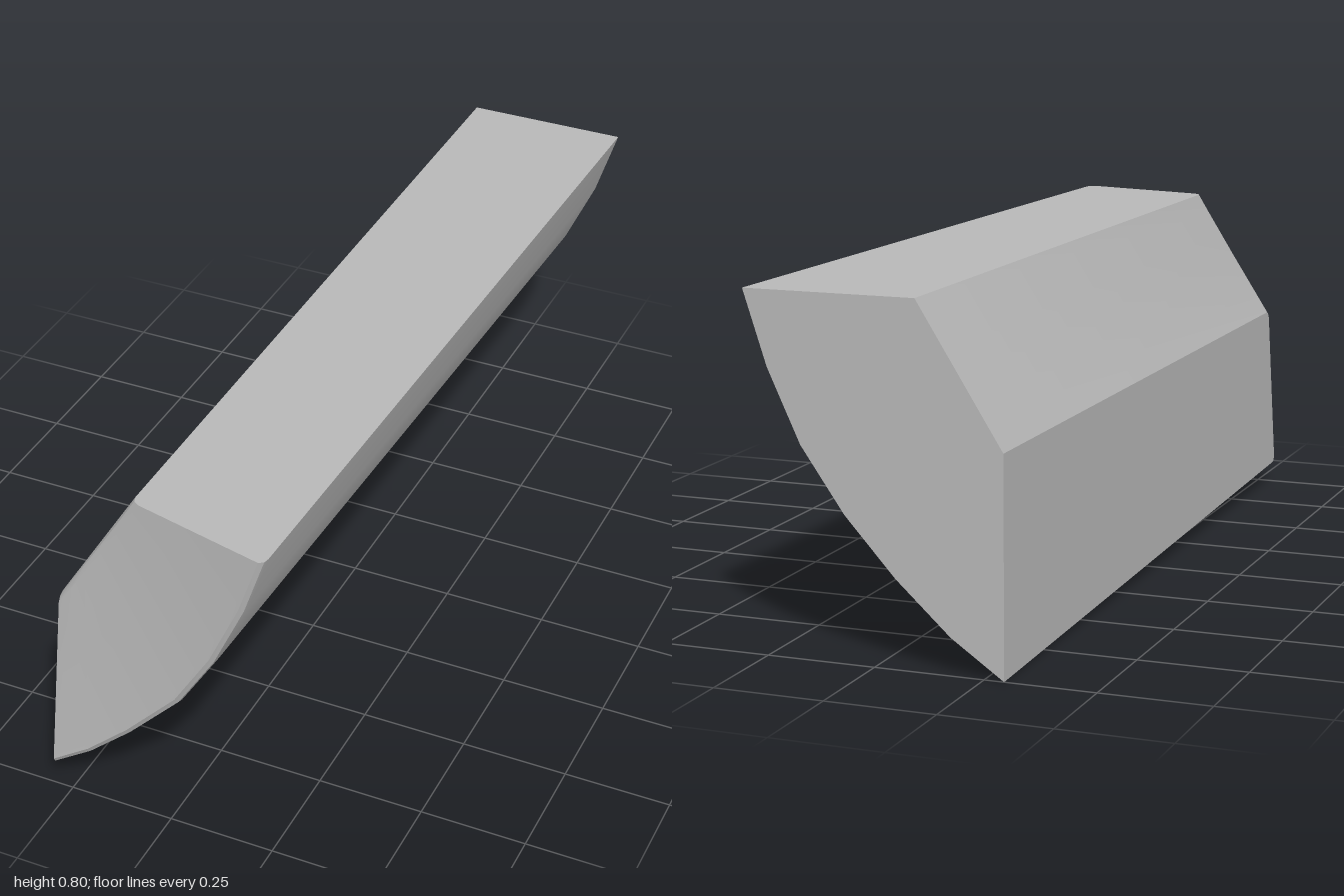
import * as THREE from 'three';
import { toCreasedNormals } from 'three/addons/utils/BufferGeometryUtils.js';

// curved outer edge at the back and, drawn in slightly, at the front
const BACK_ARC = [[-0.295, 0], [-0.175, 0.083], [-0.05, 0.198], [0.065, 0.325], [0.165, 0.468], [0.24, 0.63], [0.294, 0.795]];
const FRONT_ARC = [[-0.295, 0.056], [-0.2, 0.12], [-0.095, 0.213], [0.032, 0.345], [0.122, 0.487], [0.198, 0.65], [0.248, 0.795]];
// straight chamfer on the inner side
const INNER_START = new THREE.Vector2(-0.295, 0.485);
const INNER_END = new THREE.Vector2(-0.1, 0.795);

// closed loop of points running back to front along the curve and returning along the chamfer
function section(i) {
  const back = BACK_ARC[i];
  const outer = new THREE.Vector2(...FRONT_ARC[i]);
  const inner = INNER_START.clone().lerp(INNER_END, i / (BACK_ARC.length - 1));
  const dir = inner.clone().sub(outer).normalize();
  const at = (p, inset, z) => [p.x + dir.x * inset, p.y + dir.y * inset, z];
  return [
    [back[0], back[1], -1],
    at(outer, 0, 0.98),
    at(outer, 0.003, 0.994),
    at(outer, 0.014, 1),
    at(outer, 0.024, 0.998),
    at(inner, -0.018, 0.926),
    at(inner, -0.005, 0.917),
    at(inner, 0, 0.903),
    [inner.x, inner.y, -1],
  ];
}

function blockGeometry() {
  const sections = BACK_ARC.map((_, i) => section(i));
  const n = sections[0].length;
  const last = sections.length - 1;
  const index = [];
  // skin between neighbouring sections, including the flat back
  for (let t = 0; t < last; t++) {
    for (let k = 0; k < n; k++) {
      const k2 = (k + 1) % n;
      const a = t * n + k, b = (t + 1) * n + k, c = (t + 1) * n + k2, d = t * n + k2;
      index.push(a, b, c, a, c, d);
    }
  }
  // flat side and flat top
  for (let k = 1; k < n - 1; k++) {
    index.push(0, k, k + 1);
    index.push(last * n, last * n + k + 1, last * n + k);
  }
  const geometry = new THREE.BufferGeometry();
  geometry.setAttribute('position', new THREE.Float32BufferAttribute(sections.flat(2), 3));
  geometry.setIndex(index);
  return toCreasedNormals(geometry, 0.5);
}

export function createModel() {
  const model = new THREE.Group();
  model.name = 'curvedBlock';
  const grey = new THREE.MeshStandardMaterial({ color: 0xb8b8b8 });
  grey.name = 'grey';
  const body = new THREE.Mesh(blockGeometry(), grey);
  body.name = 'body';
  model.add(body);
  return model;
}
